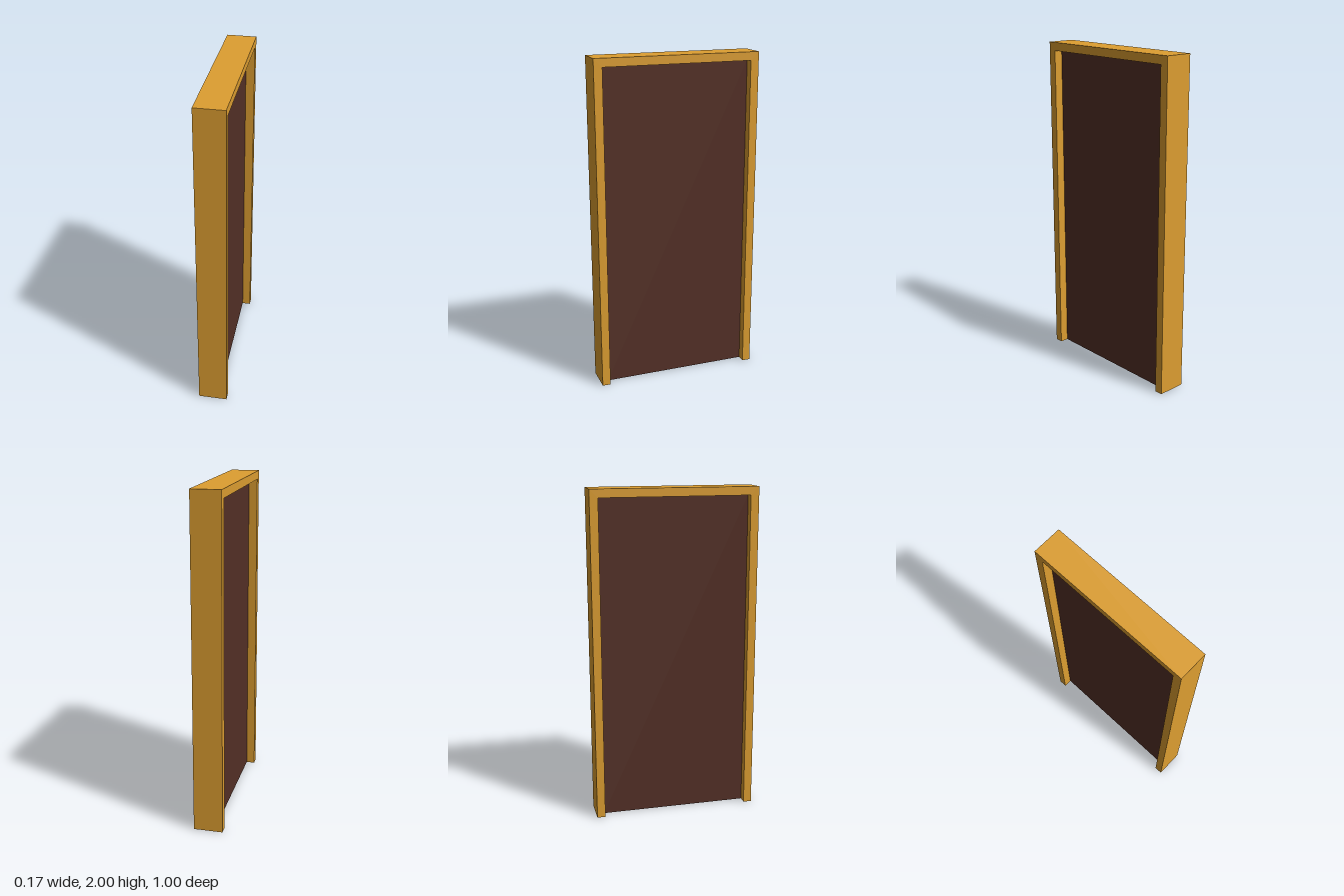
import * as THREE from 'three';

const HEIGHT = 2, HALF_WIDTH = 0.5, DEPTH = 0.174; // outer frame size
const JAMB = 0.05;                                 // frame face width
const LEAF_DEPTH = 0.07;

export function createModel() {
  const group = new THREE.Group();
  const frameMaterial = new THREE.MeshStandardMaterial({ color: 0xdd9e31 });
  const leafMaterial = new THREE.MeshStandardMaterial({ color: 0x543026 });

  // Door frame: one U-shaped outline, open at the floor, extruded through the wall
  const inner = HALF_WIDTH - JAMB, top = HEIGHT - JAMB;
  const outline = new THREE.Shape([
    [-HALF_WIDTH, 0], [-inner, 0], [-inner, top], [inner, top],
    [inner, 0], [HALF_WIDTH, 0], [HALF_WIDTH, HEIGHT], [-HALF_WIDTH, HEIGHT],
  ].map(([x, y]) => new THREE.Vector2(x, y)));
  const frameGeometry = new THREE.ExtrudeGeometry(outline, { depth: DEPTH, bevelEnabled: false });
  frameGeometry.translate(0, 0, -DEPTH / 2).rotateY(Math.PI / 2);
  const frame = new THREE.Mesh(frameGeometry, frameMaterial);
  frame.name = 'doorFrame';
  group.add(frame);

  // Door leaf: plain slab centred in the depth of the frame
  const leaf = new THREE.Mesh(new THREE.BoxGeometry(LEAF_DEPTH, top, inner * 2), leafMaterial);
  leaf.name = 'doorLeaf';
  leaf.position.y = top / 2;
  group.add(leaf);

  return group;
}
